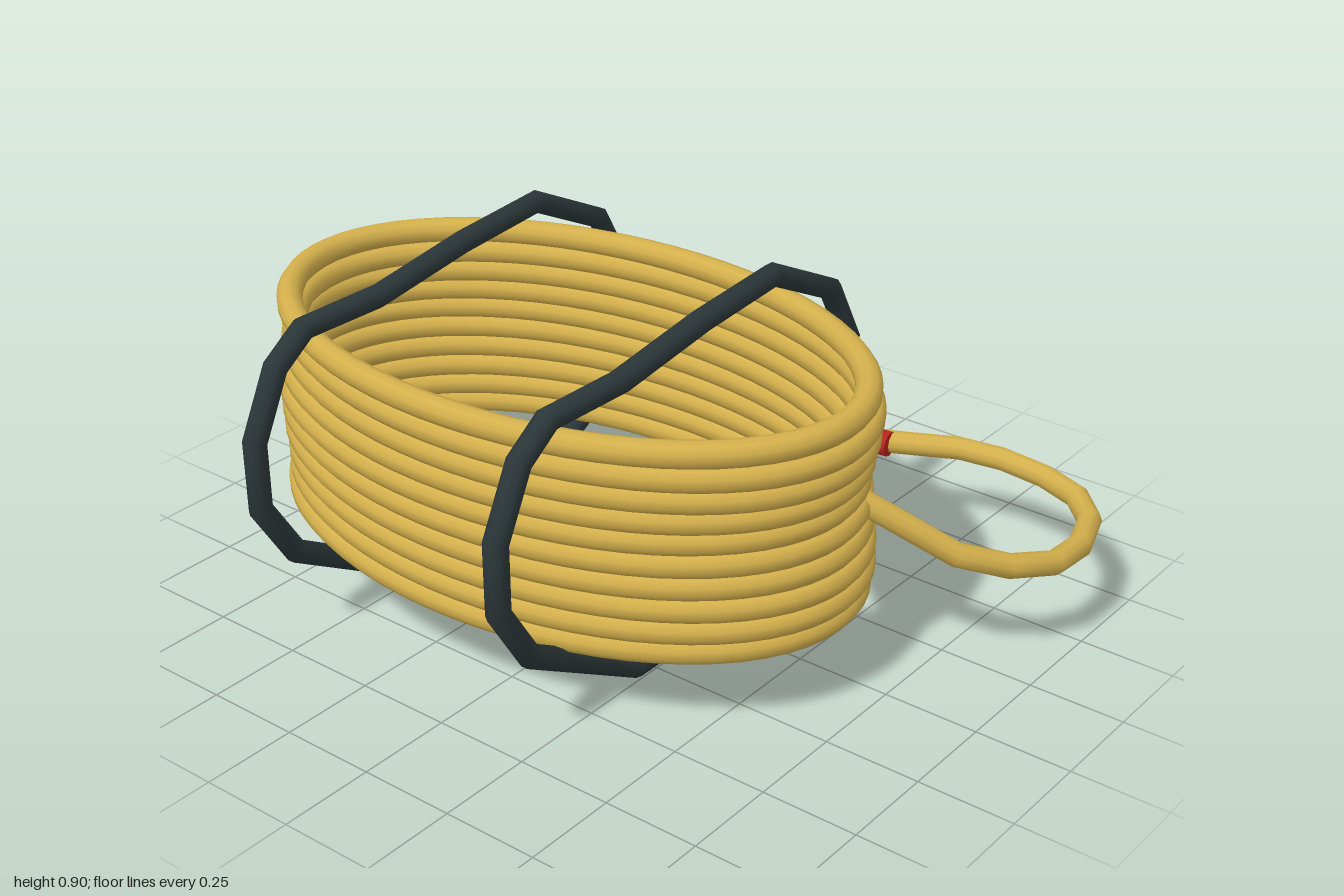
import * as THREE from 'three';

// Curve running straight between its points
class Polyline extends THREE.Curve {
  constructor(points, closed = false) {
    super();
    this.pts = points;
    this.closed = closed;
  }
  getPoint(t, target = new THREE.Vector3()) {
    const n = this.pts.length, spans = this.closed ? n : n - 1;
    const s = THREE.MathUtils.clamp(t, 0, 1) * spans;
    const i = Math.min(Math.floor(s), spans - 1);
    return target.lerpVectors(this.pts[i], this.pts[(i + 1) % n], s - i);
  }
  getPointAt(t, target) { return this.getPoint(t, target); }
  // Mitre direction at each corner
  getTangentAt(t, target = new THREE.Vector3()) {
    const d = 1e-4, wrap = (u) => (this.closed ? (u + 1) % 1 : u);
    const p = this.getPoint(t), a = this.getPoint(wrap(t - d)), b = this.getPoint(wrap(t + d));
    const u = p.clone().sub(a).normalize();
    return target.copy(b).sub(p).normalize().add(u).normalize();
  }
}

export function createModel() {
  const model = new THREE.Group();
  const mat = (name, color) => {
    const m = new THREE.MeshStandardMaterial({ color });
    m.name = name;
    return m;
  };
  const ropeMat = mat('golden rope', 0xd4b04c);
  const strapMat = mat('dark strap', 0x2b3638);
  const tipMat = mat('red tip', 0xb8241f);
  const add = (name, geometry, material) => {
    const mesh = new THREE.Mesh(geometry, material);
    mesh.name = name;
    model.add(mesh);
    return mesh;
  };

  // Stack of oval rope turns, each shifted a little sideways
  const shifts = [-0.145, -0.135, -0.137, -0.145, -0.15, -0.157, -0.147, -0.135, -0.128, -0.14];
  shifts.forEach((cx, i) => {
    const ring = [];
    for (let k = 0; k < 64; k++) {
      const a = (k / 64) * Math.PI * 2;
      ring.push(new THREE.Vector3(cx + 0.807 * Math.cos(a), 0.236 + i * 0.0563, 0.108 + 0.51 * Math.sin(a)));
    }
    add('ropeTurn' + (i + 1), new THREE.TubeGeometry(new Polyline(ring, true), 64, 0.033, 10, true), ropeMat);
  });

  // Loose rope end curling out behind the coil
  const tail = [
    [0.62, 0.475, -0.04], [0.82, 0.34, -0.165], [0.91, 0.295, -0.265], [0.963, 0.268, -0.385],
    [0.965, 0.26, -0.51], [0.92, 0.257, -0.64], [0.835, 0.255, -0.73], [0.715, 0.253, -0.778],
    [0.58, 0.253, -0.793], [0.46, 0.253, -0.775], [0.31, 0.255, -0.695], [0.24, 0.257, -0.667],
  ].map((p) => new THREE.Vector3(...p));
  add('ropeTail', new THREE.TubeGeometry(new Polyline(tail), tail.length - 1, 0.031, 10), ropeMat);
  add('ropeTailStart', new THREE.SphereGeometry(0.031, 10, 8), ropeMat).position.copy(tail[0]);

  // Red sleeve on the rope end
  const from = new THREE.Vector3(0.157, 0.257, -0.657), to = new THREE.Vector3(0.308, 0.257, -0.672);
  const axis = to.clone().sub(from);
  const tip = add('ropeTip', new THREE.CylinderGeometry(0.034, 0.034, axis.length(), 12), tipMat);
  tip.position.copy(from).lerp(to, 0.5);
  tip.quaternion.setFromUnitVectors(new THREE.Vector3(0, 1, 0), axis.normalize());

  // Two closed straps around the coil, given as (z, y)
  const outline = [
    [0.31, 0.03], [-0.115, 0.03], [-0.488, 0.24], [-0.572, 0.41], [-0.566, 0.59], [-0.474, 0.754], [-0.224, 0.878],
    [0.06, 0.858], [0.364, 0.816], [0.614, 0.82], [0.71, 0.754], [0.792, 0.588], [0.79, 0.41], [0.69, 0.25],
  ];
  for (const [name, x] of [['rightStrap', -0.525], ['leftStrap', 0.23]]) {
    const path = new Polyline(outline.map(([z, y]) => new THREE.Vector3(x, y, z)), true);
    add(name, new THREE.TubeGeometry(path, outline.length, 0.03, 10, true), strapMat);
  }
  return model;
}
